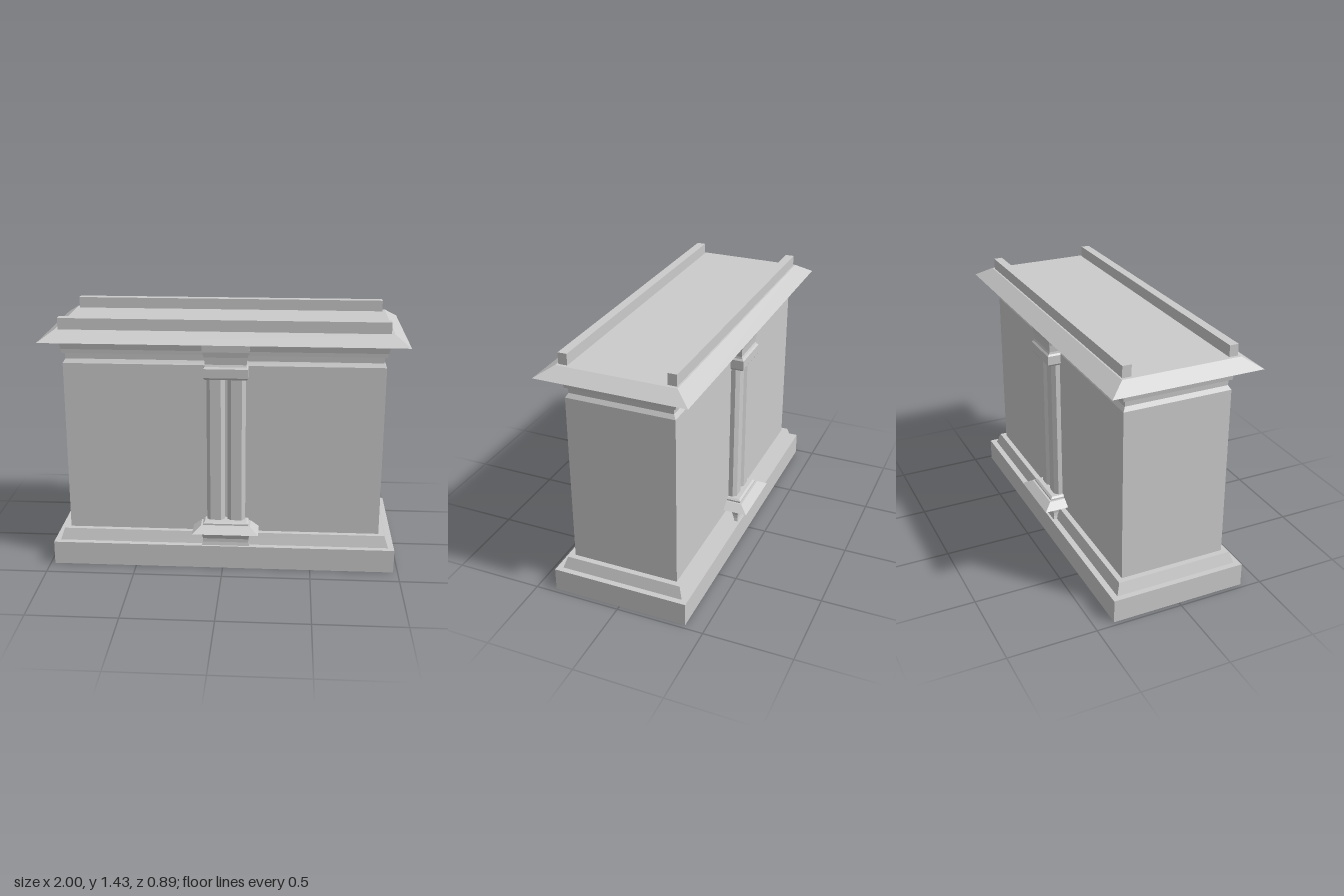
import * as THREE from 'three';

const material = new THREE.MeshStandardMaterial({ color: 0xcccccc, flatShading: true, side: THREE.DoubleSide });

function addMesh(parent, name, geometry, x = 0, y = 0, z = 0) {
  const mesh = new THREE.Mesh(geometry, material);
  mesh.name = name;
  mesh.position.set(x, y, z);
  parent.add(mesh);
  return mesh;
}

// Rectangular rings [halfX, halfZ, y], listed bottom to top and skinned with flat faces.
function loft(rings, capBottom, capTop) {
  const signs = [[1, 1], [1, -1], [-1, -1], [-1, 1]];
  const corners = rings.map(([hx, hz, y]) => signs.map(([sx, sz]) => [sx * hx, y, sz * hz]));
  const positions = [];
  const quad = (a, b, c, d) => [a, b, c, a, c, d].forEach((p) => positions.push(...p));
  for (let i = 0; i < corners.length - 1; i++) {
    for (let j = 0; j < 4; j++) {
      const k = (j + 1) % 4;
      quad(corners[i][j], corners[i][k], corners[i + 1][k], corners[i + 1][j]);
    }
  }
  if (capBottom) quad(...[...corners[0]].reverse());
  if (capTop) quad(...corners[corners.length - 1]);
  const geometry = new THREE.BufferGeometry();
  geometry.setAttribute('position', new THREE.Float32BufferAttribute(positions, 3));
  geometry.computeVertexNormals();
  return geometry;
}

// Square post with chamfered corners, standing on y = 0.
function chamferedPost(half, chamfer, height) {
  const a = half, b = half - chamfer;
  const outline = [[a, -b], [a, b], [b, a], [-b, a], [-a, b], [-a, -b], [-b, -a], [b, -a]];
  const shape = new THREE.Shape(outline.map(([x, y]) => new THREE.Vector2(x, y)));
  const geometry = new THREE.ExtrudeGeometry(shape, { depth: height, bevelEnabled: false });
  return geometry.rotateX(-Math.PI / 2);
}

function createPilaster(name, side) {
  const group = new THREE.Group();
  group.name = name;
  group.position.set(0.017, 0, side * 0.258);

  // Waisted pedestal with a recessed neck
  addMesh(group, 'pedestal', loft([
    [0.137, 0.12, 0.13], [0.131, 0.115, 0.155], [0.13, 0.115, 0.175],
    [0.135, 0.125, 0.205], [0.12, 0.12, 0.205], [0.12, 0.12, 0.215],
    [0.127, 0.127, 0.215], [0.127, 0.127, 0.23],
  ], true, true));

  // Flared skirt and stepped foot under the shafts
  addMesh(group, 'skirt', loft([
    [0.187, 0.187, 0.23], [0.14, 0.14, 0.264], [0.129, 0.129, 0.264],
    [0.129, 0.129, 0.273], [0.118, 0.118, 0.282],
  ], true, true));

  // Twin shafts
  for (const s of [-1, 1]) {
    addMesh(group, s > 0 ? 'leftShaft' : 'rightShaft', chamferedPost(0.05, 0.02, 0.85),
      s * 0.058, 0.275, side * 0.043);
  }

  // Capital block and flaring bracket
  addMesh(group, 'capital', loft([
    [0.115, 0.115, 1.117], [0.122, 0.122, 1.128], [0.122, 0.122, 1.178],
    [0.115, 0.113, 1.188], [0.113, 0.108, 1.2], [0.118, 0.111, 1.24],
    [0.128, 0.116, 1.27], [0.132, 0.118, 1.32],
  ], true, true));
  return group;
}

export function createModel() {
  const model = new THREE.Group();
  model.name = 'wallSegment';

  // Stepped plinth, hollow from below
  addMesh(model, 'plinth', loft([
    [0.975, 0.39, 0], [0.975, 0.39, 0.135], [0.942, 0.356, 0.135],
    [0.92, 0.335, 0.2], [0.888, 0.305, 0.2],
  ], false, false));

  // Wall with a shallow recessed frieze and crown moulding
  addMesh(model, 'wall', loft([
    [0.888, 0.305, 0.2], [0.888, 0.305, 1.18], [0.874, 0.291, 1.203],
    [0.876, 0.293, 1.235], [0.89, 0.307, 1.237], [0.894, 0.309, 1.26],
    [0.904, 0.319, 1.305], [0.904, 0.319, 1.32],
  ], false, false));

  // Sloped coping with flat top
  addMesh(model, 'coping', loft([
    [1, 0.418, 1.318], [0.92, 0.33, 1.372],
  ], true, true));

  for (const side of [1, -1]) {
    const label = side > 0 ? 'front' : 'back';
    addMesh(model, label + 'Rail', new THREE.BoxGeometry(1.804, 0.063, 0.05), 0, 1.4035, side * 0.296);
    model.add(createPilaster(label + 'Pilaster', side));
  }
  return model;
}
